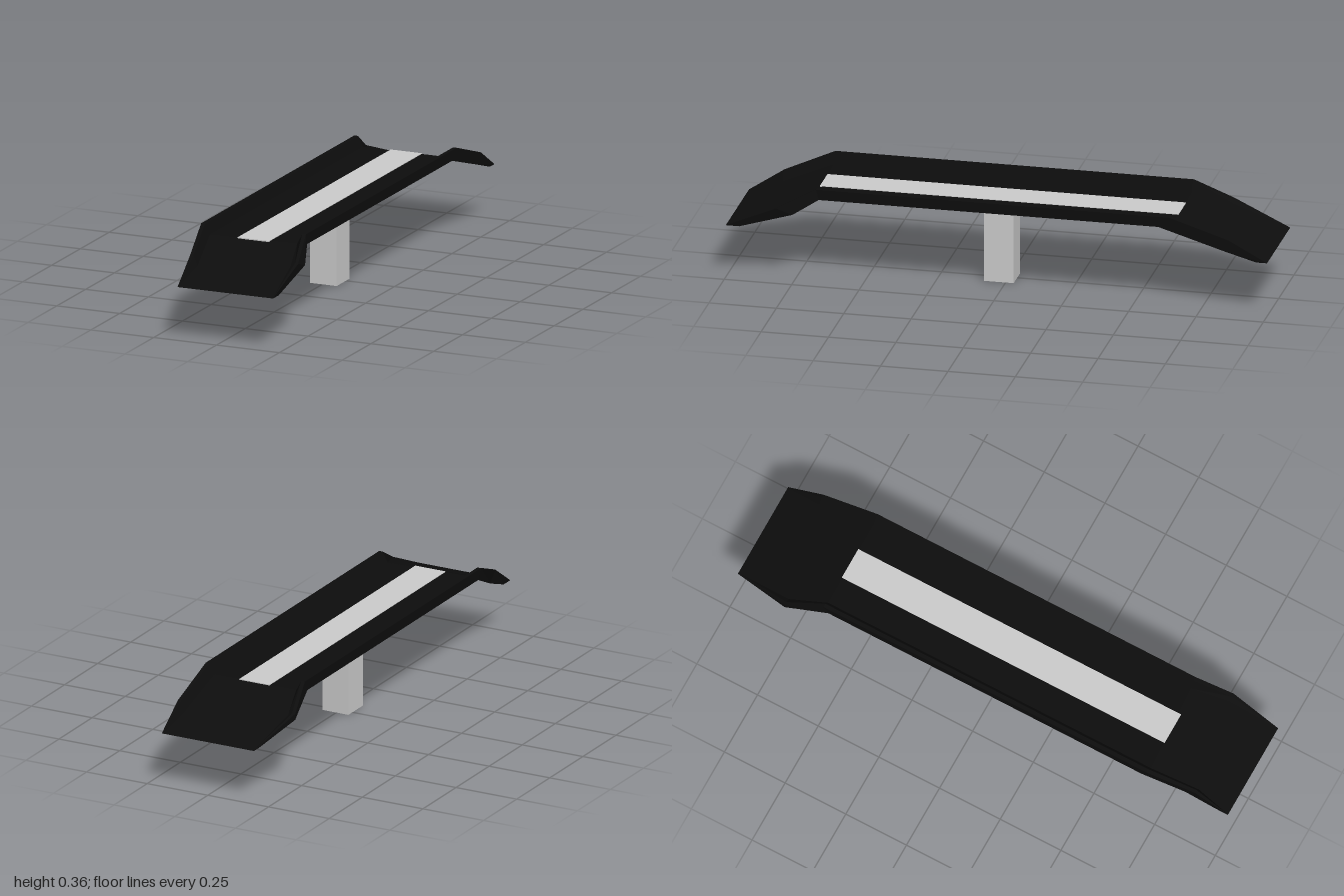
import * as THREE from 'three';

const FLOOR = 0.318;
const black = new THREE.MeshStandardMaterial({ color: 0x0d0d0d, flatShading: true, side: THREE.DoubleSide });
const grey = new THREE.MeshStandardMaterial({ color: 0xcccccc });

// Height of the deck floor: level in the middle, sloping down at both ends
function floorY(z) {
  if (z > 0.69) return FLOOR - 0.118 * (z - 0.69) / 0.31;
  if (z < -0.64) return FLOOR - 0.113 * (-0.64 - z) / 0.36;
  return FLOOR;
}

// Joins successive cross-sections (arrays of [x, y, z]) into a surface
function loft(sections, closed) {
  const pos = [], idx = [], n = sections[0].length;
  for (const s of sections) for (const p of s) pos.push(...p);
  for (let i = 0; i < sections.length - 1; i++) {
    for (let j = 0; j < (closed ? n : n - 1); j++) {
      const k = (j + 1) % n, a = i * n, b = a + n;
      idx.push(a + j, a + k, b + j, a + k, b + k, b + j);
    }
  }
  const g = new THREE.BufferGeometry();
  g.setAttribute('position', new THREE.Float32BufferAttribute(pos, 3));
  g.setIndex(idx);
  g.computeVertexNormals();
  return g;
}

// Rim stations from back to front: outer x, top y, top z, bottom y, bottom z, inset
const rightRim = [
  [0.19, 0.205, -1, 0.205, -0.96, 0.004],
  [0.2, 0.285, -0.86, 0.243, -0.84, 0.03],
  [0.205, 0.357, -0.64, 0.318, -0.6, 0.035],
  [0.205, 0.357, 0.67, 0.318, 0.66, 0.035],
  [0.238, 0.285, 0.81, 0.265, 0.75, 0.03],
  [0.225, 0.2, 1, 0.2, 0.95, 0.004],
];
const leftRim = [
  [-0.19, 0.205, -1, 0.205, -0.96, 0.004],
  [-0.24, 0.285, -0.78, 0.262, -0.78, 0.03],
  [-0.203, 0.357, -0.64, 0.318, -0.62, 0.035],
  [-0.203, 0.357, 0.69, 0.318, 0.67, 0.035],
  [-0.165, 0.285, 0.87, 0.245, 0.83, 0.03],
  [-0.155, 0.2, 1, 0.2, 0.95, 0.004],
];

const floorPoint = ([x, , z, , , inset]) => [x - Math.sign(x) * inset, floorY(z), z];

function rimSection(s) {
  const [x, topY, topZ, botY, botZ, inset] = s;
  return [
    [x, botY, botZ],
    [x, topY, topZ],
    [x - Math.sign(x) * inset * 0.42, topY, topZ],
    floorPoint(s),
  ];
}

export function createModel() {
  const group = new THREE.Group();
  const add = (name, geometry, material) => {
    const mesh = new THREE.Mesh(geometry, material);
    mesh.name = name;
    group.add(mesh);
    return mesh;
  };

  // Deck floor with its two sloping ends
  add('deck', loft(leftRim.map((s, i) => [floorPoint(s), floorPoint(rightRim[i])]), false), black);

  // Raised rims along both sides
  add('leftRim', loft(rightRim.map(rimSection), true), black);
  add('rightRim', loft(leftRim.map(rimSection), true), black);

  // Pale strip let into the deck, showing above and below
  add('strip', new THREE.BoxGeometry(0.125, 0.004, 1.33), grey).position.set(0.003, FLOOR, 0.022);

  // Supporting post
  add('post', new THREE.BoxGeometry(0.107, FLOOR, 0.11), grey).position.set(0.0035, FLOOR / 2, 0.025);

  return group;
}
